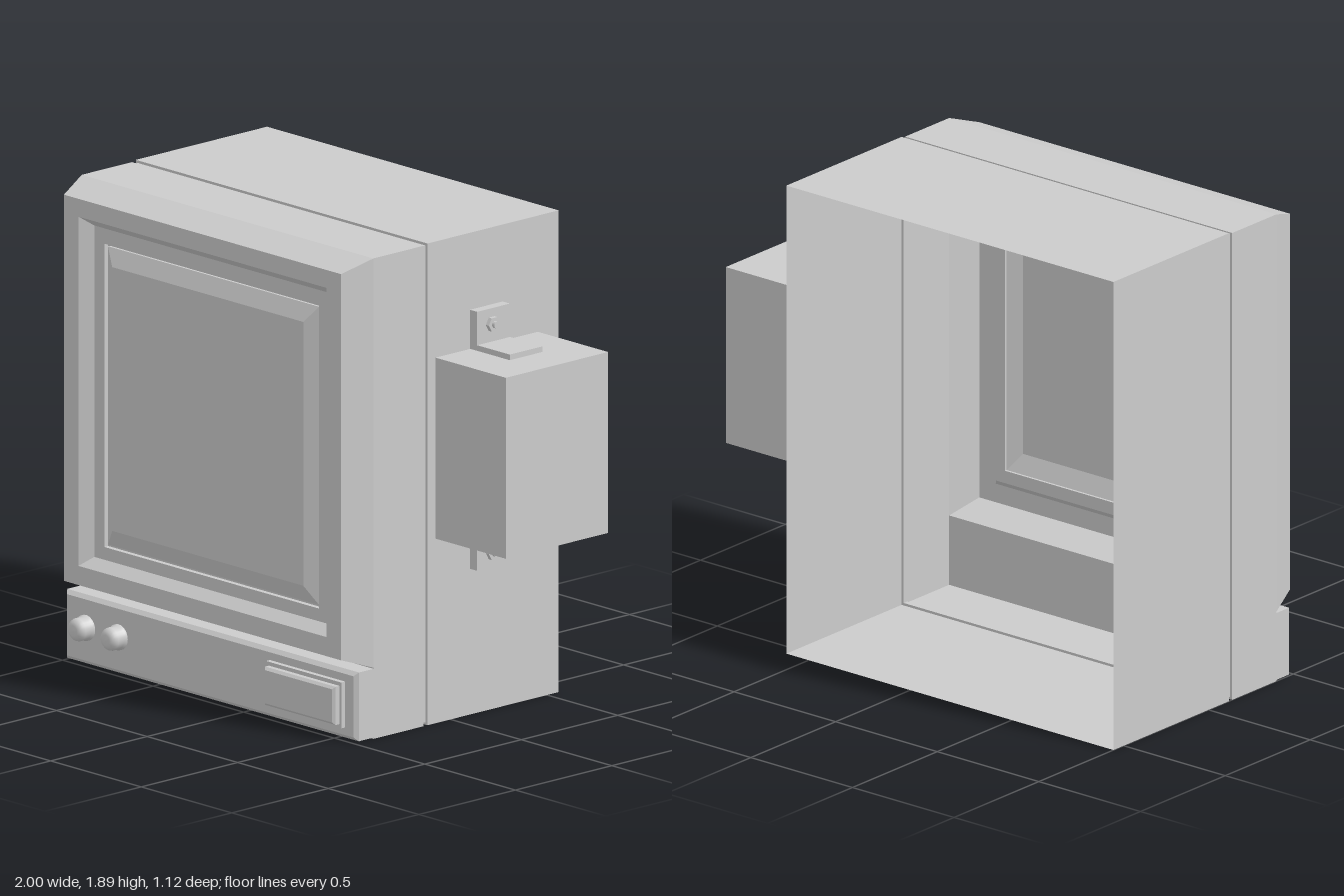
import * as THREE from 'three';

const solid = new THREE.MeshStandardMaterial({ color: 0xcccccc, flatShading: true });
const thin = new THREE.MeshStandardMaterial({ color: 0xcccccc, flatShading: true, side: THREE.DoubleSide });
const smooth = new THREE.MeshStandardMaterial({ color: 0xcccccc });

// Skin through rectangular rings [x0, x1, y0, y1, z], running back to front
function rings(name, list, material, cap = true) {
  const pos = [];
  const corners = ([x0, x1, y0, y1, z]) => [[x0, y0, z], [x1, y0, z], [x1, y1, z], [x0, y1, z]];
  const quad = (a, b, c, d) => [a, b, c, a, c, d].forEach(p => pos.push(...p));
  for (let k = 0; k < list.length - 1; k++) {
    const a = corners(list[k]), b = corners(list[k + 1]);
    for (let i = 0; i < 4; i++) {
      const j = (i + 1) % 4;
      quad(a[i], a[j], b[j], b[i]);
    }
  }
  if (cap) quad(...corners(list[list.length - 1]));
  const g = new THREE.BufferGeometry();
  g.setAttribute('position', new THREE.Float32BufferAttribute(pos, 3));
  g.computeVertexNormals();
  const mesh = new THREE.Mesh(g, material);
  mesh.name = name;
  return mesh;
}

// Box given by its limits
function box(name, x0, x1, y0, y1, z0, z1) {
  const mesh = new THREE.Mesh(new THREE.BoxGeometry(x1 - x0, y1 - y0, z1 - z0), solid);
  mesh.position.set((x0 + x1) / 2, (y0 + y1) / 2, (z0 + z1) / 2);
  mesh.name = name;
  return mesh;
}

// Rounded control knob pointing forward
function knob(x) {
  const profile = [[0.05, 0], [0.05, 0.012], [0.045, 0.016], [0.045, 0.045], [0.042, 0.055], [0.033, 0.065], [0.02, 0.07], [0, 0.071]];
  const g = new THREE.LatheGeometry(profile.map(p => new THREE.Vector2(...p)), 24);
  const mesh = new THREE.Mesh(g, smooth);
  mesh.rotation.x = Math.PI / 2;
  mesh.position.set(x, 0.15, 0.488);
  mesh.name = 'knob';
  return mesh;
}

// Angle bracket with its bolt; dir is +1 above the side box, -1 below
function bracket(dir) {
  const group = new THREE.Group();
  group.name = dir > 0 ? 'upperBracket' : 'lowerBracket';
  const edge = dir > 0 ? 1.435 : 0.725;
  const span = (a, b) => [edge + dir * a, edge + dir * b].sort((p, q) => p - q);
  group.add(box('bracketWallPlate', 0.61, 0.65, ...span(0, 0.153), -0.27, -0.1));
  group.add(box('bracketArm', 0.65, 0.83, ...span(0, 0.022), -0.27, -0.1));
  const bolt = (name, r, x0, x1, sides) => {
    const mesh = new THREE.Mesh(new THREE.CylinderGeometry(r, r, x1 - x0, sides), solid);
    mesh.rotation.z = -Math.PI / 2;
    mesh.position.set((x0 + x1) / 2, edge + dir * 0.093, -0.175);
    mesh.name = name;
    group.add(mesh);
  };
  bolt('boltHead', 0.03, 0.65, 0.667, 6);
  bolt('boltTip', 0.014, 0.667, 0.68, 12);
  return group;
}

// Side box with a shallow slot in its outer face
function sideBox() {
  const group = new THREE.Group();
  group.name = 'sideBox';
  group.add(box('sideBoxBody', 0.612, 0.97, 0.725, 1.435, -0.45, 0.08));
  const rect = (path, z0, z1, y0, y1) => {
    path.moveTo(-z0, y0).lineTo(-z1, y0).lineTo(-z1, y1).lineTo(-z0, y1).closePath();
    return path;
  };
  const shape = new THREE.Shape();
  rect(shape, -0.45, 0.08, 0.725, 1.435);
  shape.holes.push(rect(new THREE.Path(), -0.205, -0.155, 0.77, 1.39));
  const g = new THREE.ExtrudeGeometry(shape, { depth: 0.03, bevelEnabled: false });
  g.rotateY(Math.PI / 2);
  g.translate(0.97, 0, 0);
  const face = new THREE.Mesh(g, solid);
  face.name = 'slottedFace';
  group.add(face);
  return group;
}

export function createModel() {
  const model = new THREE.Group();
  model.name = 'monitor';

  // Open-backed casing, seam groove, chamfered bezel and recessed screen frame
  model.add(rings('casing', [
    [-1, 0.61, 0, 1.89, -0.56],
    [-1, 0.61, 0, 1.89, 0.12],
    [-0.99, 0.6, 0.01, 1.88, 0.12],
    [-0.99, 0.6, 0.01, 1.88, 0.14],
    [-1, 0.61, 0, 1.885, 0.14],
    [-1, 0.61, 0, 1.885, 0.4],
    [-1, 0.61, 0.28, 1.885, 0.4],
    [-0.96, 0.57, 0.325, 1.84, 0.53],
    [-0.88, 0.49, 0.4, 1.77, 0.53],
    [-0.84, 0.45, 0.435, 1.735, 0.485],
    [-0.785, 0.4, 0.485, 1.675, 0.485],
    [-0.785, 0.4, 0.485, 1.675, 0.465],
    [-0.775, 0.39, 0.495, 1.665, 0.465],
  ], thin, false));

  // Raised screen with sloping edges
  model.add(rings('screen', [
    [-0.775, 0.39, 0.495, 1.665, 0.465],
    [-0.775, 0.39, 0.495, 1.665, 0.475],
    [-0.72, 0.335, 0.565, 1.6, 0.505],
  ], thin));

  // Control panel below the bezel
  model.add(rings('controlPanel', [
    [-1, 0.61, 0.005, 0.275, 0.4],
    [-1, 0.61, 0.005, 0.275, 0.475],
    [-0.985, 0.595, 0.02, 0.26, 0.49],
  ], solid));
  model.add(rings('panelButton', [
    [0.135, 0.55, 0.05, 0.23, 0.49],
    [0.135, 0.55, 0.05, 0.23, 0.51],
    [0.15, 0.54, 0.065, 0.215, 0.51],
    [0.15, 0.54, 0.065, 0.215, 0.53],
    [0.16, 0.53, 0.075, 0.205, 0.54],
  ], solid));
  for (const x of [-0.88, -0.7]) model.add(knob(x));

  // Box bolted to the left side
  model.add(sideBox(), bracket(1), bracket(-1));
  return model;
}
